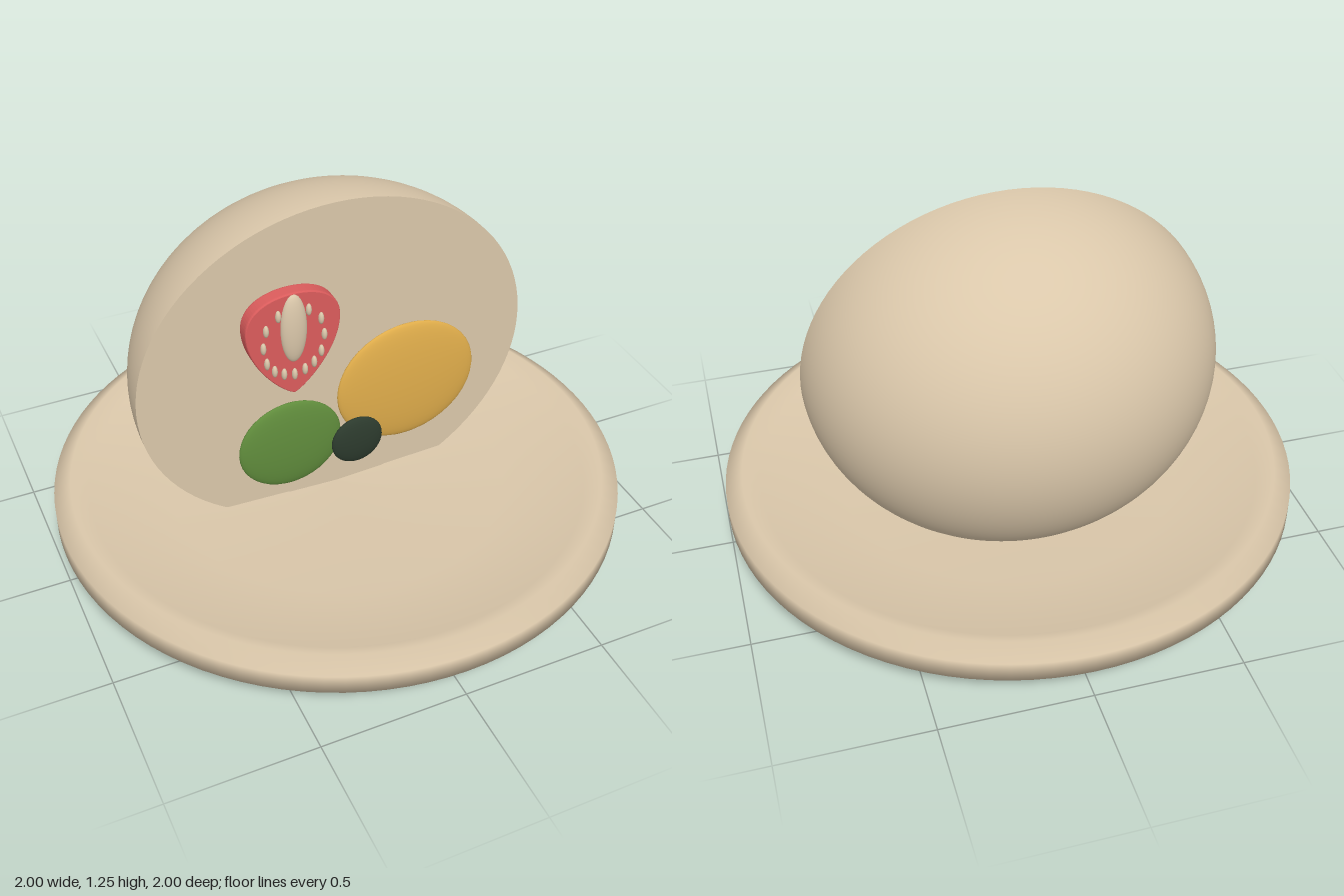
import * as THREE from 'three';

export function createModel() {
  const group = new THREE.Group();
  const mat = (name, color, side = THREE.FrontSide) => {
    const m = new THREE.MeshStandardMaterial({ color, side });
    m.name = name;
    return m;
  };
  const cream = mat('cream', 0xdac7aa, THREE.DoubleSide);
  const red = mat('strawberry red', 0xdb5c5c);
  const gold = mat('mango gold', 0xe0ad4b);
  const green = mat('kiwi green', 0x608c3c);
  const dark = mat('dark berry', 0x2c3a2d);

  const add = (name, geometry, material, x = 0, y = 0, z = 0) => {
    const mesh = new THREE.Mesh(geometry, material);
    mesh.name = name;
    mesh.position.set(x, y, z);
    group.add(mesh);
    return mesh;
  };
  const ellipsoid = (name, material, [x, y, z], [rx, ry, rz], n = 40) =>
    add(name, new THREE.SphereGeometry(1, n, n / 2).scale(rx, ry, rz), material, x, y, z);

  // Dished plate
  const profile = [
    [0, 0.035], [0.71, 0.035], [1, 0.11], [1, 0.18], [0.94, 0.215],
    [0.88, 0.18], [0.6, 0.13], [0, 0.105],
  ].map(([x, y]) => new THREE.Vector2(x, y));
  add('plate', new THREE.LatheGeometry(profile, 96), cream);

  // Halved bun: rounded back, flat cut face and filling disc
  add('bunBack', new THREE.SphereGeometry(1, 64, 48, Math.PI, Math.PI).scale(0.71, 0.625, 0.65),
    cream, 0, 0.627, 0);
  add('cutFace', new THREE.CircleGeometry(1, 96).scale(0.71, 0.625, 1), cream, 0, 0.627, 0);
  add('filling', new THREE.CircleGeometry(1, 96).scale(0.612, 0.538, 1), cream, 0, 0.627, 0.003);

  // Fruit slices
  ellipsoid('mangoSlice', gold, [0.235, 0.53, 0.065], [0.26, 0.236, 0.03]);
  ellipsoid('kiwiSlice', green, [-0.2, 0.39, 0.065], [0.188, 0.174, 0.028]);
  ellipsoid('berry', dark, [0.035, 0.355, 0.1], [0.095, 0.094, 0.025]);

  // Strawberry slice
  const s = new THREE.Shape();
  s.moveTo(0, -0.385);
  s.bezierCurveTo(0.04, -0.37, 0.162, -0.25, 0.162, -0.12);
  s.bezierCurveTo(0.162, -0.04, 0.09, 0, 0, 0);
  s.bezierCurveTo(-0.09, 0, -0.162, -0.04, -0.162, -0.12);
  s.bezierCurveTo(-0.162, -0.25, -0.04, -0.37, 0, -0.385);
  add('strawberrySlice', new THREE.ExtrudeGeometry(s, {
    depth: 0.036, curveSegments: 20, bevelThickness: 0.008, bevelSize: 0.004, bevelSegments: 3,
  }), red, -0.19, 1.01, 0.047);
  ellipsoid('strawberryCore', cream, [-0.19, 0.88, 0.09], [0.046, 0.13, 0.026], 32);

  // Seeds mirrored around the core
  const seeds = [[0.053, 0.94], [0.096, 0.895], [0.107, 0.83], [0.096, 0.767],
    [0.07, 0.73], [0.037, 0.71], [0, 0.7]];
  for (const [dx, y] of seeds)
    for (const side of dx ? [-1, 1] : [1])
      ellipsoid('strawberrySeed', cream, [-0.19 + side * dx, y, 0.092], [0.01, 0.023, 0.012], 12);

  return group;
}
